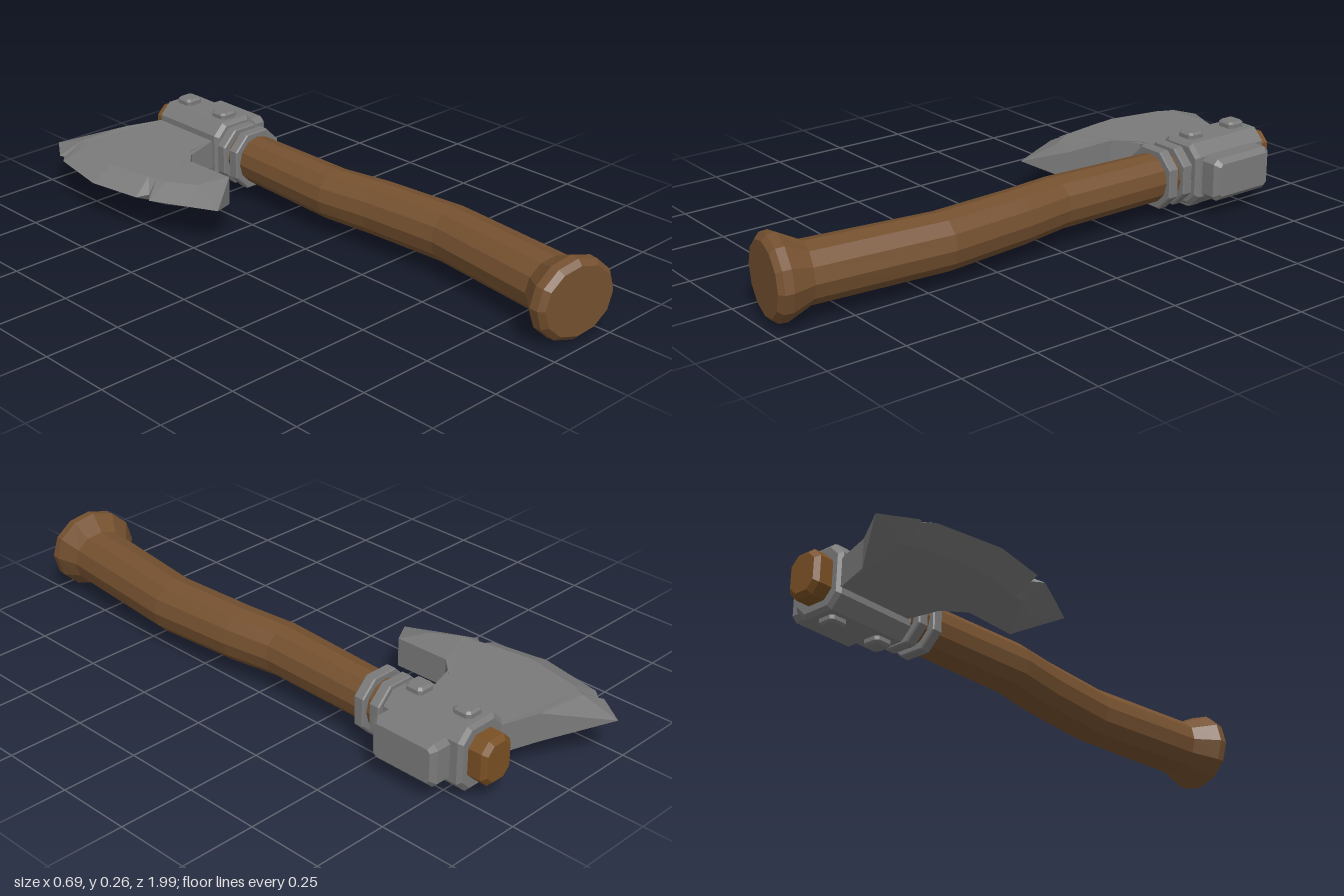
import * as THREE from 'three';

const MID = 0.13; // height of the axe's mid plane

// Skin closed rings (counter-clockwise seen from +z, ordered by rising z) and cap both ends
function loft(rings) {
  const pos = [];
  const tri = (a, b, c) => {
    const area = b.clone().sub(a).cross(c.clone().sub(a)).length();
    if (area > 1e-8) for (const p of [a, b, c]) pos.push(p.x, p.y, p.z);
  };
  const n = rings[0].length;
  for (let i = 0; i < rings.length - 1; i++) {
    for (let j = 0; j < n; j++) {
      const k = (j + 1) % n, r = rings[i], s = rings[i + 1];
      tri(r[j], r[k], s[k]);
      tri(r[j], s[k], s[j]);
    }
  }
  const first = rings[0], last = rings[rings.length - 1];
  for (let j = 1; j < n - 1; j++) {
    tri(first[0], first[j + 1], first[j]);
    tri(last[0], last[j], last[j + 1]);
  }
  const g = new THREE.BufferGeometry();
  g.setAttribute('position', new THREE.Float32BufferAttribute(pos, 3));
  g.computeVertexNormals();
  return g;
}

// Twelve-sided ring whose plane leans along x by the given slope
function ovalRing([cx, z, rx, ry, slope = 0]) {
  return Array.from({ length: 12 }, (_, i) => {
    const a = (i / 12) * Math.PI * 2, dx = rx * Math.cos(a);
    return new THREE.Vector3(cx + dx, MID + ry * Math.sin(a), z + slope * dx);
  });
}

// Box along z with chamfered corners (c) and bevelled ends (b)
function chamferBox(w, h, d, c, b) {
  const ring = (inset, z) => {
    const x = w / 2 - inset, y = h / 2 - inset, k = Math.max(c - inset * 0.4, 0.004);
    return [[x, -y + k], [x, y - k], [x - k, y], [-x + k, y], [-x, y - k], [-x, -y + k], [-x + k, -y], [x - k, -y]]
      .map(([px, py]) => new THREE.Vector3(px, py, z));
  };
  return loft([ring(b, -d / 2), ring(0, -d / 2 + b), ring(0, d / 2 - b), ring(b, d / 2)]);
}

export function createModel() {
  const model = new THREE.Group();
  const material = (name, color) => {
    const m = new THREE.MeshStandardMaterial({ color, flatShading: true });
    m.name = name;
    return m;
  };
  const wood = material('brown wood', 0x74502f);
  const endWood = material('warm end wood', 0x7a5024);
  const metal = material('grey metal', 0x7a7a7a);
  const add = (name, geometry, mat, x = 0, y = 0, z = 0) => {
    const mesh = new THREE.Mesh(geometry, mat);
    mesh.name = name;
    mesh.position.set(x, y, z);
    model.add(mesh);
    return mesh;
  };

  // Curved handle flaring into a slanted pommel: centre x, z, half width, half height, slope
  add('handle', loft([
    [0.182, -0.60, 0.076, 0.078],
    [0.178, -0.42, 0.078, 0.080],
    [0.166, -0.03, 0.086, 0.084, -0.03],
    [0.190, 0.14, 0.087, 0.088, -0.1],
    [0.210, 0.425, 0.090, 0.091, 0.05],
    [0.163, 0.855, 0.098, 0.093, 0.25],
    [0.139, 0.927, 0.138, 0.130, 0.2],
    [0.137, 0.955, 0.137, 0.128, 0.2],
    [0.135, 0.971, 0.121, 0.111, 0.2],
  ].map(ovalRing)), wood);

  // Handle end poking through the head
  add('handleTip', chamferBox(0.122, 0.145, 0.12, 0.03, 0.014), endWood, 0.186, MID, -0.83);

  // Two metal bands below the head
  for (const z of [-0.4975, -0.4375]) {
    add('band', chamferBox(0.186, 0.192, 0.037, 0.05, 0.004), metal, 0.178, MID, z);
  }

  // Socket around the handle
  add('socket', chamferBox(0.184, 0.21, 0.30, 0.038, 0.012), metal, 0.187, MID, -0.68);

  // Square studs above and below the socket
  for (const side of [1, -1]) {
    for (const z of [-0.768, -0.59]) {
      const stud = add('stud', chamferBox(0.064, 0.064, 0.06, 0.01, 0.007), metal, 0.182, MID + side * 0.095, z);
      stud.rotation.x = Math.PI / 2;
    }
  }

  // Blunt poll opposite the blade
  const poll = add('poll', chamferBox(0.24, 0.14, 0.12, 0.016, 0.016), metal, 0.285, MID, -0.672);
  poll.rotation.set(0, Math.PI / 2, 0);

  // Blade stations: cutting edge x,z / bevel line x,z / back x,z
  const t = 0.04, T = 0.047;
  const tip = (x, z) => Array.from({ length: 5 }, () => new THREE.Vector3(x, MID, z));
  const station = ([ex, ez, ix, iz, bx, bz]) => [
    new THREE.Vector3(ex, MID, ez),
    new THREE.Vector3(ix, MID - t, iz),
    new THREE.Vector3(bx, MID - T, bz),
    new THREE.Vector3(bx, MID + T, bz),
    new THREE.Vector3(ix, MID + t, iz),
  ];
  add('blade', loft([
    tip(-0.217, -0.995),
    ...[
      [-0.285, -0.895, -0.205, -0.875, -0.03, -0.86],
      [-0.278, -0.880, -0.215, -0.850, 0.10, -0.82],
      [-0.305, -0.850, -0.230, -0.820, 0.10, -0.80],
      [-0.345, -0.635, -0.262, -0.640, 0.10, -0.66],
      [-0.315, -0.450, -0.238, -0.480, 0.10, -0.555],
      [-0.272, -0.438, -0.230, -0.450, -0.005, -0.54],
      [-0.302, -0.402, -0.225, -0.410, -0.07, -0.47],
      [-0.250, -0.295, -0.170, -0.320, -0.065, -0.285],
    ].map(station),
    tip(-0.197, -0.19),
  ]), metal);

  return model;
}
